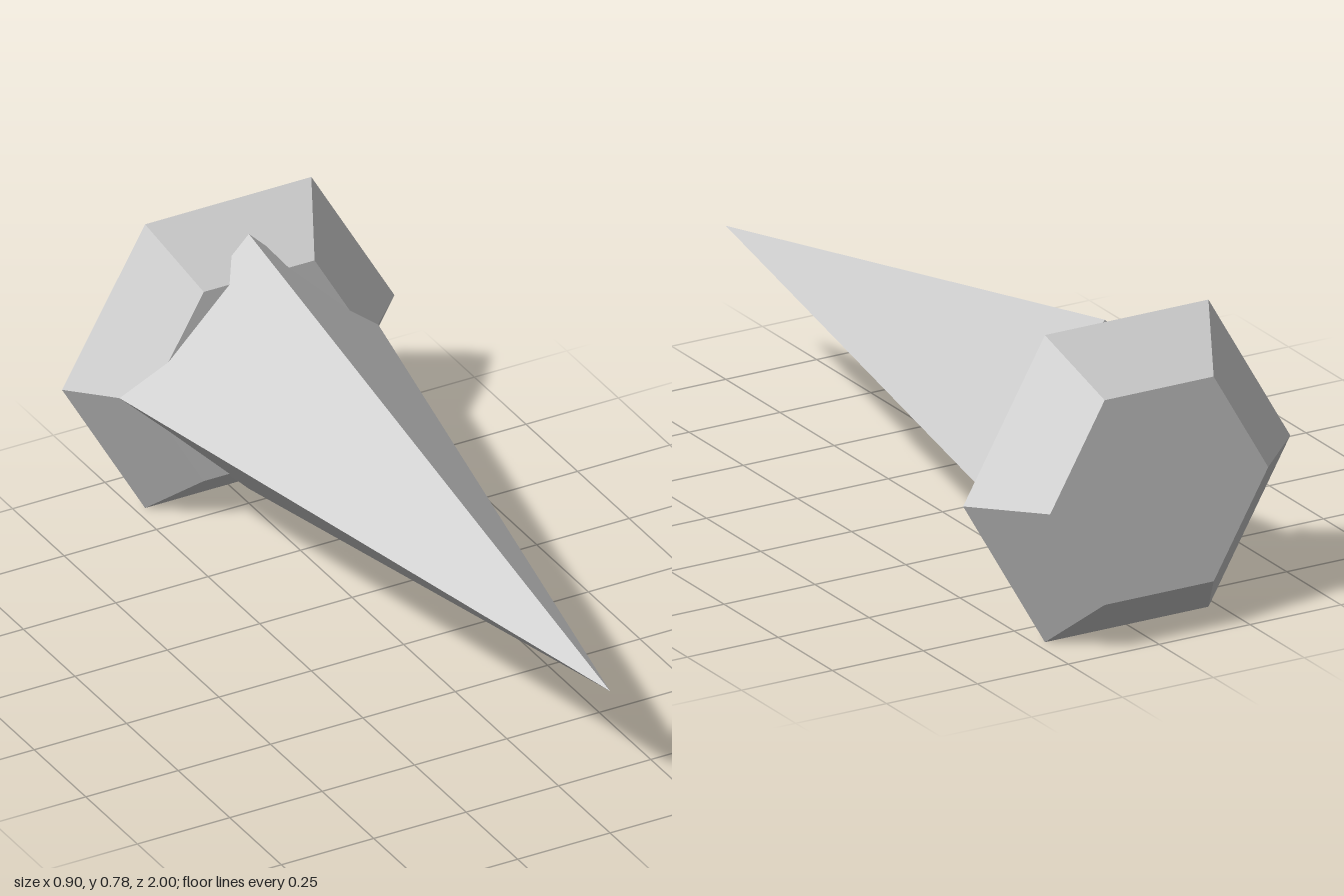
import * as THREE from 'three';

export function createModel() {
  const group = new THREE.Group();
  const grey = new THREE.MeshStandardMaterial({ color: 0xcccccc, flatShading: true });
  grey.name = 'light grey';

  // Adds a part whose own y axis is turned to point forward along z
  const add = (name, geometry, z) => {
    const mesh = new THREE.Mesh(geometry.rotateX(Math.PI / 2), grey);
    mesh.name = name;
    mesh.position.set(0, 0.39, z);
    group.add(mesh);
  };

  // Four-sided spike, tip at the front
  add('spike', new THREE.ConeGeometry(0.35, 1.75, 4), 0.125);

  // Hexagonal bevelled head at the back, with corners at left and right
  const profile = [[0, -0.15], [0.3, -0.15], [0.45, 0], [0.3, 0.15], [0, 0.15]]
    .map(([r, y]) => new THREE.Vector2(r, y));
  add('head', new THREE.LatheGeometry(profile, 6, Math.PI / 2), -0.85);

  return group;
}
